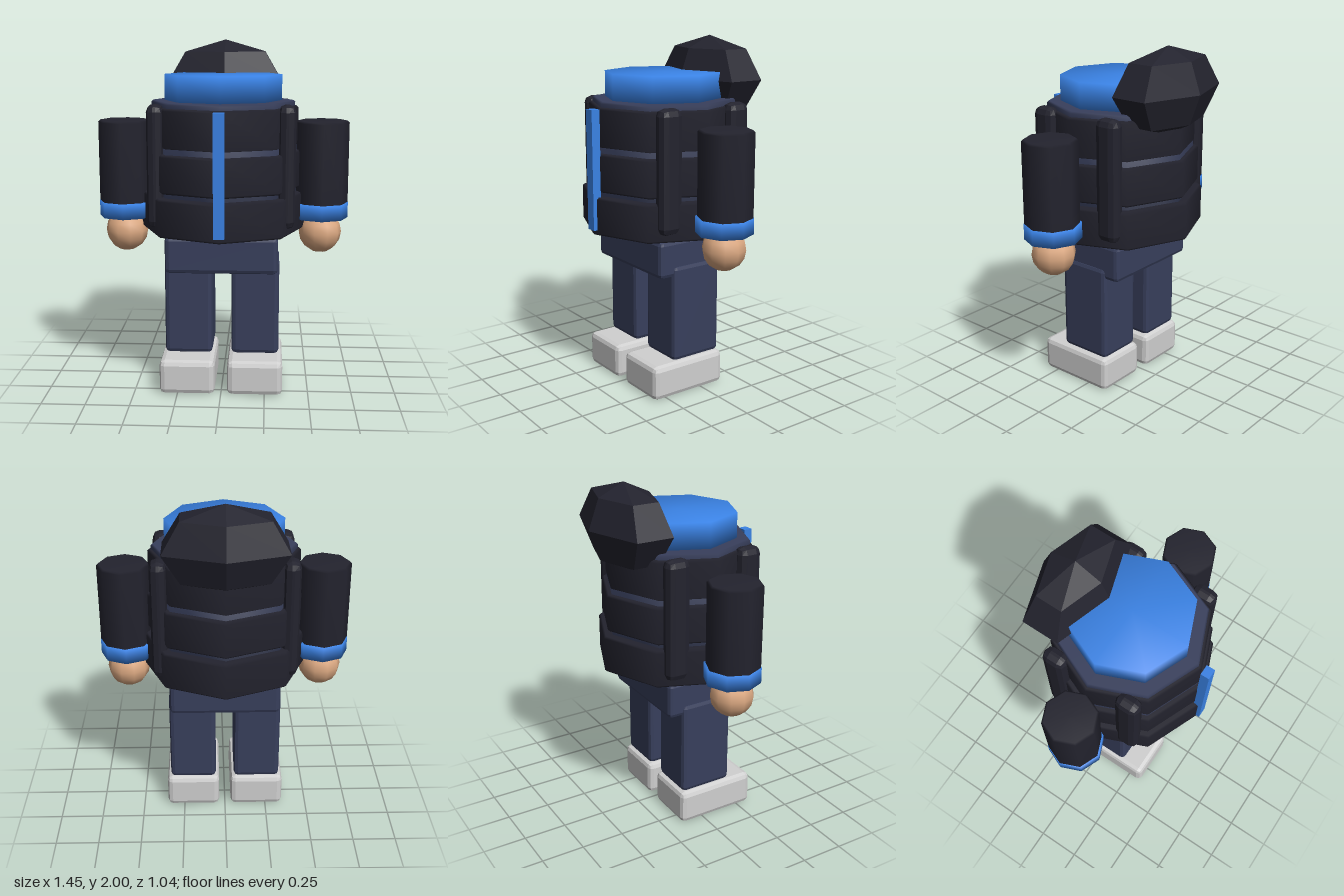
import * as THREE from 'three';
import { RoundedBoxGeometry } from 'three/addons/geometries/RoundedBoxGeometry.js';

const mat = (name, color) => Object.assign(new THREE.MeshStandardMaterial({ color }), { name });

export function createModel() {
  const model = new THREE.Group();
  model.name = 'figure';
  const black = mat('black padding', 0x23232e);
  const navy = mat('navy cloth', 0x383f5c);
  const blue = mat('bright blue trim', 0x3a82e4);
  const skin = mat('skin', 0xdca982);
  const grey = mat('light grey shoe', 0xd0d0d0);
  const Z = 0.03; // depth of the body axis

  const add = (name, geometry, material, x = 0, y = 0, z = 0) => {
    const mesh = new THREE.Mesh(geometry, material);
    mesh.name = name;
    mesh.position.set(x, y, z);
    model.add(mesh);
    return mesh;
  };

  // Box with flat chamfers, given by its lower and upper limits
  const chamferBox = (name, material, [x0, x1], [y0, y1], [z0, z1], bevel) => {
    const g = new RoundedBoxGeometry(x1 - x0, y1 - y0, z1 - z0, 1, bevel);
    g.computeVertexNormals();
    return add(name, g, material, (x0 + x1) / 2, (y0 + y1) / 2, (z0 + z1) / 2);
  };

  // Closed eight-sided drum with softened shading
  const drum = (name, material, r, y0, y1, x = 0, bevel = 0) => {
    const pts = bevel
      ? [[0, y0], [r - bevel, y0], [r, y0 + bevel], [r, y1 - bevel], [r - bevel, y1], [0, y1]]
      : [[0, y0], [r, y0], [r, y1], [0, y1]];
    const g = new THREE.LatheGeometry(pts.map(p => new THREE.Vector2(...p)), 8);
    return add(name, g, material, x, 0, Z);
  };

  // Jacket: navy lining showing at the seams, three padded tiers, hem and collar
  drum('jacketLining', navy, 0.425, 0.95, 1.62);
  [[0.43, 1.41, 1.635], [0.455, 1.17, 1.385], [0.48, 0.93, 1.145]].forEach(([r, y0, y1], i) =>
    drum(`jacketTier${i + 1}`, black, r, y0, y1, 0, 0.012));
  drum('jacketHem', black, 0.36, 0.905, 0.95);
  drum('collar', navy, 0.41, 1.6, 1.665, 0, 0.01);
  drum('neckWarmer', blue, 0.335, 1.65, 1.81);
  add('zip', new THREE.BoxGeometry(0.06, 0.67, 0.05), blue, 0, 1.295, 0.495);

  // Faceted hood resting behind the collar
  const hood = new THREE.SphereGeometry(1, 6, 4).rotateY(Math.PI / 2).scale(0.387, 0.24, 0.215).toNonIndexed();
  hood.computeVertexNormals();
  add('hood', hood, black, 0, 1.76, -0.305);

  // Hips
  chamferBox('hips', navy, [-0.32, 0.32], [0.7, 0.915], [-0.215, 0.275], 0.025);

  for (const [side, s] of [['left', 1], ['right', -1]]) {
    const span = (a, b) => (s > 0 ? [a, b] : [-b, -a]);

    // Vertical padded strips on the front and back corners of the jacket
    chamferBox(`${side}FrontStrip`, black, span(0.315, 0.41), [0.97, 1.655], [0.18, 0.32], 0.04);
    chamferBox(`${side}BackStrip`, black, span(0.315, 0.41), [0.97, 1.655], [-0.27, -0.13], 0.04);

    // Arm
    drum(`${side}Sleeve`, black, 0.151, 1.05, 1.55, s * 0.57, 0.012);
    drum(`${side}Cuff`, blue, 0.158, 0.99, 1.08, s * 0.565);
    add(`${side}Hand`, new THREE.SphereGeometry(0.123, 10, 8), skin, s * 0.565, 0.905, Z);

    // Leg
    chamferBox(`${side}Leg`, navy, span(0.055, 0.33), [0.2, 0.765], [-0.13, 0.19], 0.025);
    chamferBox(`${side}Shoe`, grey, span(0.035, 0.352), [0, 0.2], [-0.147, 0.335], 0.03);
  }
  return model;
}
